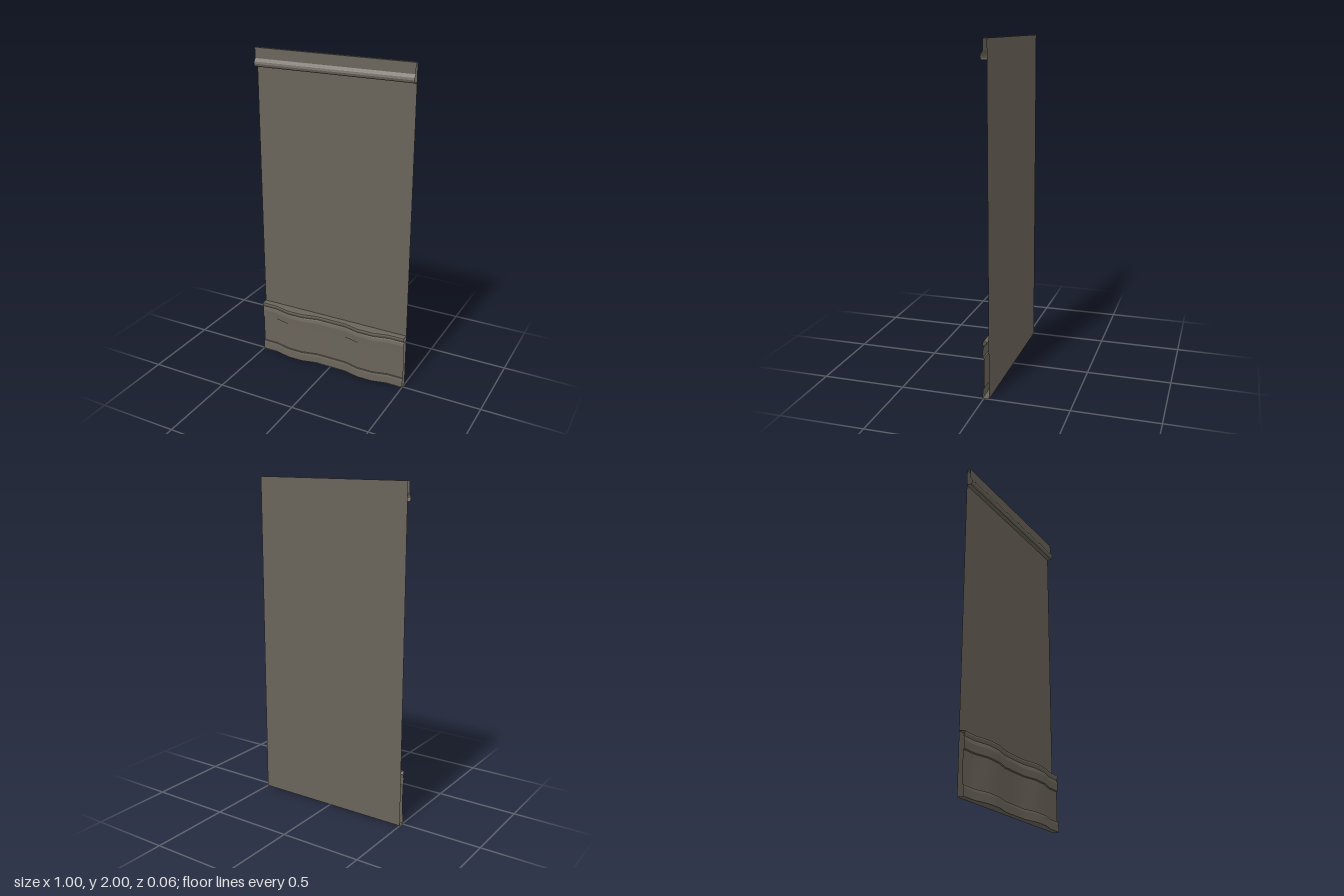
import * as THREE from 'three';

const WALL_Z = -0.031;
const WAVE = 0.023;

// Two flat-topped bulges, sampled every 0.1 along the width
const bulge = x => {
  const a = Math.abs(x);
  return a > 0.15 && a < 0.35 ? WAVE : 0;
};

// Sweeps a [z, y] profile (bottom to top) along x; crisp across the profile, smooth along x.
// Points touching the wall stay straight, all others follow the wave.
function sweep(name, profile, xs, offset, material) {
  const pos = [], index = [];
  const z = (p, x) => p[0] + (p[0] > WALL_Z ? offset(x) : 0);
  for (let i = 0; i < profile.length - 1; i++) {
    const a = profile[i], b = profile[i + 1], start = pos.length / 3;
    xs.forEach((x, j) => {
      pos.push(x, a[1], z(a, x), x, b[1], z(b, x));
      if (j < xs.length - 1) {
        const k = start + j * 2;
        index.push(k, k + 2, k + 3, k, k + 3, k + 1);
      }
    });
  }
  const geo = new THREE.BufferGeometry();
  geo.setAttribute('position', new THREE.Float32BufferAttribute(pos, 3));
  geo.setIndex(index);
  geo.computeVertexNormals();
  const mesh = new THREE.Mesh(geo, material);
  mesh.name = name;
  return mesh;
}

export function createModel() {
  const group = new THREE.Group();
  group.name = 'wallPanel';
  const paint = new THREE.MeshStandardMaterial({ color: 0x6a645a, side: THREE.DoubleSide });
  paint.name = 'taupe paint';

  // Flat wall sheet, facing the back
  const wall = new THREE.Mesh(new THREE.PlaneGeometry(1, 2), paint);
  wall.name = 'wall';
  wall.rotation.y = Math.PI;
  wall.position.set(0, 1, WALL_Z);
  group.add(wall);

  // Crown moulding: rounded roll below a flat band
  const crown = [
    [WALL_Z, 1.89], [-0.004, 1.89], [0.004, 1.897], [0.007, 1.908], [0.004, 1.92],
    [-0.003, 1.93], [-0.008, 1.938], [-0.008, 2], [WALL_Z, 2],
  ];
  group.add(sweep('crownMoulding', crown, [-0.5, 0.5], () => 0, paint));

  // Wavy wainscot: skirting, recessed panel, rail, neck and cap
  const wainscot = [
    [WALL_Z, 0], [0.007, 0], [0.006, 0.045], [0.003, 0.06], [-0.003, 0.062],
    [-0.003, 0.243], [0.004, 0.247], [0.005, 0.29], [0.001, 0.308], [-0.002, 0.315],
    [0.003, 0.325], [0.006, 0.333], [0.004, 0.342], [-0.006, 0.345], [WALL_Z, 0.345],
  ];
  const xs = Array.from({ length: 11 }, (_, i) => -0.5 + i * 0.1);
  group.add(sweep('wainscot', wainscot, xs, bulge, paint));

  return group;
}
